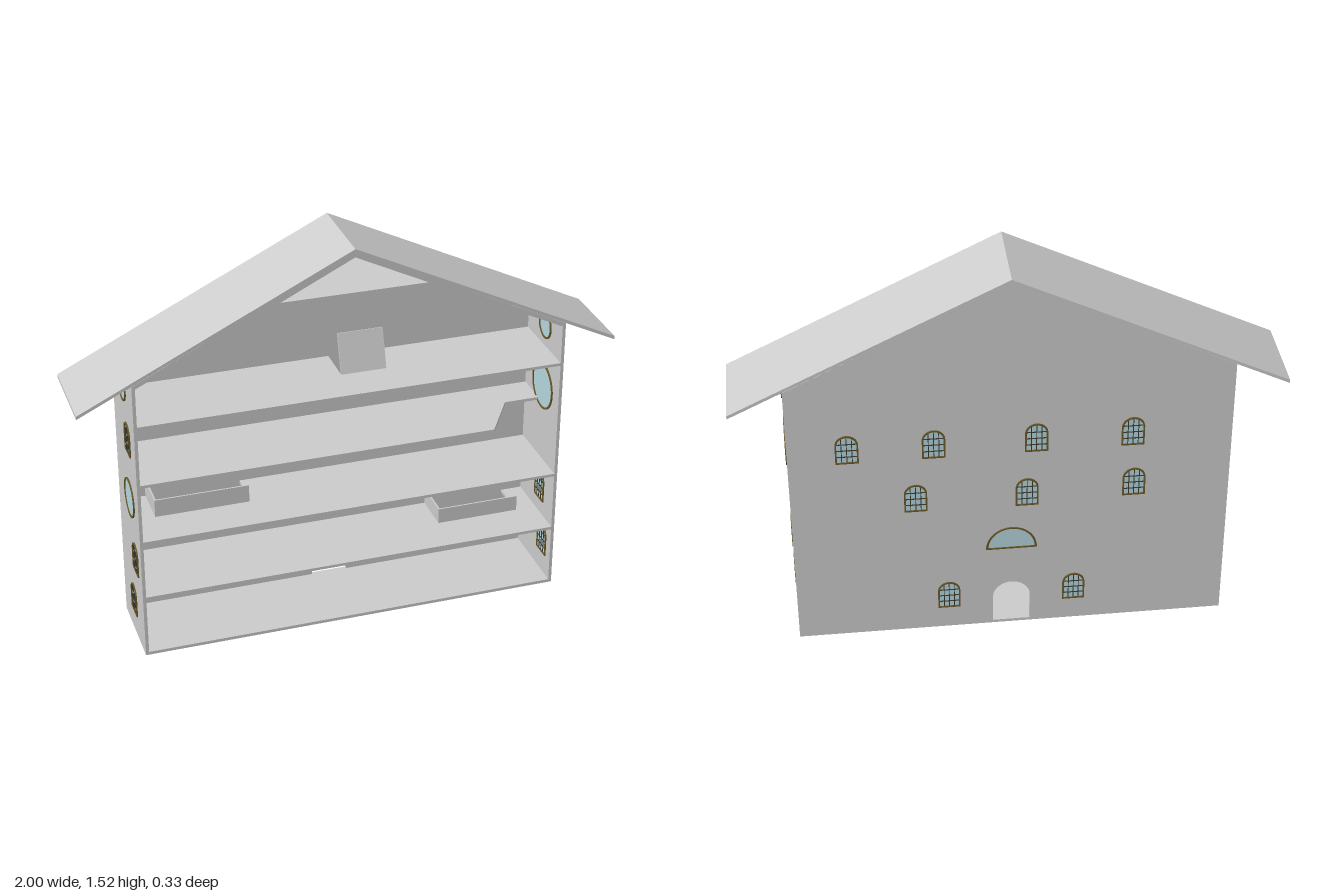
import * as THREE from 'three';

const grey = new THREE.MeshStandardMaterial({ color: 0xcccccc });
const glass = new THREE.MeshStandardMaterial({ color: 0xb4d6de });
const brass = new THREE.MeshStandardMaterial({ color: 0x6e5a28 });
const iron = new THREE.MeshStandardMaterial({ color: 0x3a3a30 });

const BACK = -0.163, FRONT = 0.163, WALL = 0.012;

const poly = (pts, Type = THREE.Shape) => new Type(pts.map(p => new THREE.Vector2(...p)));

function mesh(name, geometry, material, parent) {
  const m = new THREE.Mesh(geometry, material);
  m.name = name;
  parent.add(m);
  return m;
}

const extrude = (shape, depth) =>
  new THREE.ExtrudeGeometry(shape, { depth, bevelEnabled: false, curveSegments: 20 });

function box(name, x0, x1, y0, y1, z0, z1, parent, material = grey) {
  const m = mesh(name, new THREE.BoxGeometry(x1 - x0, y1 - y0, z1 - z0), material, parent);
  m.position.set((x0 + x1) / 2, (y0 + y1) / 2, (z0 + z1) / 2);
  return m;
}

// Outline with straight legs of height "leg" under a half ellipse
function archOutline(halfW, leg, rise, Type = THREE.Shape) {
  const s = new Type();
  s.moveTo(-halfW, 0);
  s.lineTo(halfW, 0);
  if (leg > 0) s.lineTo(halfW, leg);
  s.absellipse(0, leg, halfW, rise, 0, Math.PI, false, 0);
  s.closePath();
  return s;
}

function roundOutline(r, Type = THREE.Shape) {
  const s = new Type();
  s.absarc(0, 0, r, 0, Math.PI * 2, false);
  return s;
}

// Window through a wall: frame, pane and optional glazing bars, centred on z = 0
function makeWindow(outer, inner, hasBars) {
  const g = new THREE.Group();
  g.name = 'window';
  outer.holes.push(inner);
  mesh('windowFrame', extrude(outer, 0.022), brass, g).position.z = -0.011;
  mesh('windowPane', extrude(new THREE.Shape(inner.getPoints(20)), 0.015), glass, g).position.z = -0.0075;
  if (hasBars) {
    for (const x of [-0.019, 0, 0.019])
      box('glazingBar', x - 0.0015, x + 0.0015, 0.004, x ? 0.107 : 0.114, -0.01, 0.01, g, iron);
    for (const y of [0.03, 0.057, 0.084])
      box('glazingBar', -0.039, 0.039, y - 0.0015, y + 0.0015, -0.01, 0.01, g, iron);
  }
  return g;
}

function archWindow() {
  const inner = archOutline(0.036, 0.072, 0.036, THREE.Path);
  inner.getPoints();
  const hole = new THREE.Path(inner.getPoints(20).map(p => new THREE.Vector2(p.x, p.y + 0.006)));
  return makeWindow(archOutline(0.042, 0.078, 0.042), hole, true);
}

function halfRoundWindow() {
  const pts = archOutline(0.086, 0, 0.086, THREE.Path).getPoints(20);
  const hole = new THREE.Path(pts.map(p => new THREE.Vector2(p.x, p.y + 0.006)));
  return makeWindow(archOutline(0.095, 0, 0.097), hole, false);
}

const roundWindow = r => makeWindow(roundOutline(r), roundOutline(r - 0.007, THREE.Path), false);

// Horizontal slab from a plan of [x, z] corners
function floorSlab(y, plan, parent) {
  const g = extrude(poly(plan.map(([x, z]) => [x, -z])), 0.011);
  g.rotateX(-Math.PI / 2);
  mesh('floor', g, grey, parent).position.y = y;
}

export function createModel() {
  const house = new THREE.Group();
  house.name = 'openHouse';
  const gable = [[-0.803, 0], [0.803, 0], [0.803, 1.115], [0, 1.508], [-0.803, 1.115]];

  // Side walls, ground floor, roof lining and loft plank
  const shell = poly(gable);
  shell.holes.push(
    poly([[-0.791, 0.012], [0.791, 0.012], [0.791, 1.104], [0.35, 1.32], [-0.35, 1.32], [-0.791, 1.104]], THREE.Path),
    poly([[-0.27, 1.356], [0.27, 1.356], [0, 1.489]], THREE.Path));
  mesh('shell', extrude(shell, FRONT - BACK - WALL), grey, house).position.z = BACK + WALL;

  // Back wall with the doorway
  const back = poly(gable);
  const door = archOutline(0.07, 0.113, 0.07, THREE.Path).getPoints(20);
  back.holes.push(new THREE.Path(door.map(p => new THREE.Vector2(p.x, p.y + 0.012))));
  mesh('backWall', extrude(back, WALL), grey, house).position.z = BACK;

  // Roof
  const roof = poly([[0, 1.52], [-1, 1.034], [-1, 1.021], [0, 1.507], [1, 1.021], [1, 1.034]]);
  mesh('roof', extrude(roof, 0.328), grey, house).position.z = -0.164;

  // Upper floors; stair openings lie against the back wall
  const W = 0.792, B = BACK + WALL, F = FRONT;
  const withOpening = (x0, x1, z) =>
    [[-W, F], [W, F], [W, B], [x1, B], [x1, z], [x0, z], [x0, B], [-W, B]];
  floorSlab(0.24, withOpening(0.39, 0.71, 0.0), house);
  floorSlab(0.475, withOpening(-0.71, -0.35, 0.0), house);
  floorSlab(0.709, [[-W, F], [0.54, F], [0.655, -0.02], [W, -0.02], [W, B], [-W, B]], house);
  floorSlab(0.944, withOpening(0, 0.17, 0.0), house);

  // Railings around the stair openings
  for (const [x0, x1, y0, y1] of [[0.39, 0.71, 0.251, 0.312], [-0.71, -0.355, 0.486, 0.555]]) {
    box('railing', x0, x1, y0, y1, 0, 0.006, house);
    box('railingSide', x0, x0 + 0.006, y0, y1, B, 0, house);
  }

  // Open trapdoor leaning back
  const hatch = new THREE.Group();
  hatch.name = 'trapdoor';
  box('trapdoorPanel', 0, 0.172, 0, 0.154, -0.004, 0.004, hatch);
  hatch.position.set(0, 0.952, 0.002);
  hatch.rotation.x = -0.3;
  house.add(hatch);

  // Back windows
  const backZ = BACK + WALL / 2;
  const put = (w, x, y, z, turn = 0) => {
    w.position.set(x, y, z);
    w.rotation.y = turn;
    house.add(w);
  };
  for (const [x, y] of [[-0.235, 0.095], [0.235, 0.095], [-0.45, 0.57], [-0.057, 0.555], [0.35, 0.56],
    [-0.44, 0.796], [-0.09, 0.796], [0.28, 0.796], [0.59, 0.796]])
    put(archWindow(), x, y, backZ);
  put(halfRoundWindow(), 0, 0.358, backZ);

  // Side windows
  const sideX = 0.797, quarter = Math.PI / 2;
  for (const [z, y] of [[0.083, 0.096], [0.036, 0.31]]) put(archWindow(), sideX, y, z, quarter);
  put(roundWindow(0.093), sideX, 0.79, 0.016, quarter);
  put(roundWindow(0.055), sideX, 1.042, 0.012, quarter);
  for (const [z, y] of [[0.01, 0.096], [0.075, 0.31], [0.05, 0.796]]) put(archWindow(), -sideX, y, z, quarter);
  put(roundWindow(0.075), -sideX, 0.6, 0.03, quarter);
  put(roundWindow(0.055), -sideX, 1.042, 0.005, quarter);

  return house;
}
